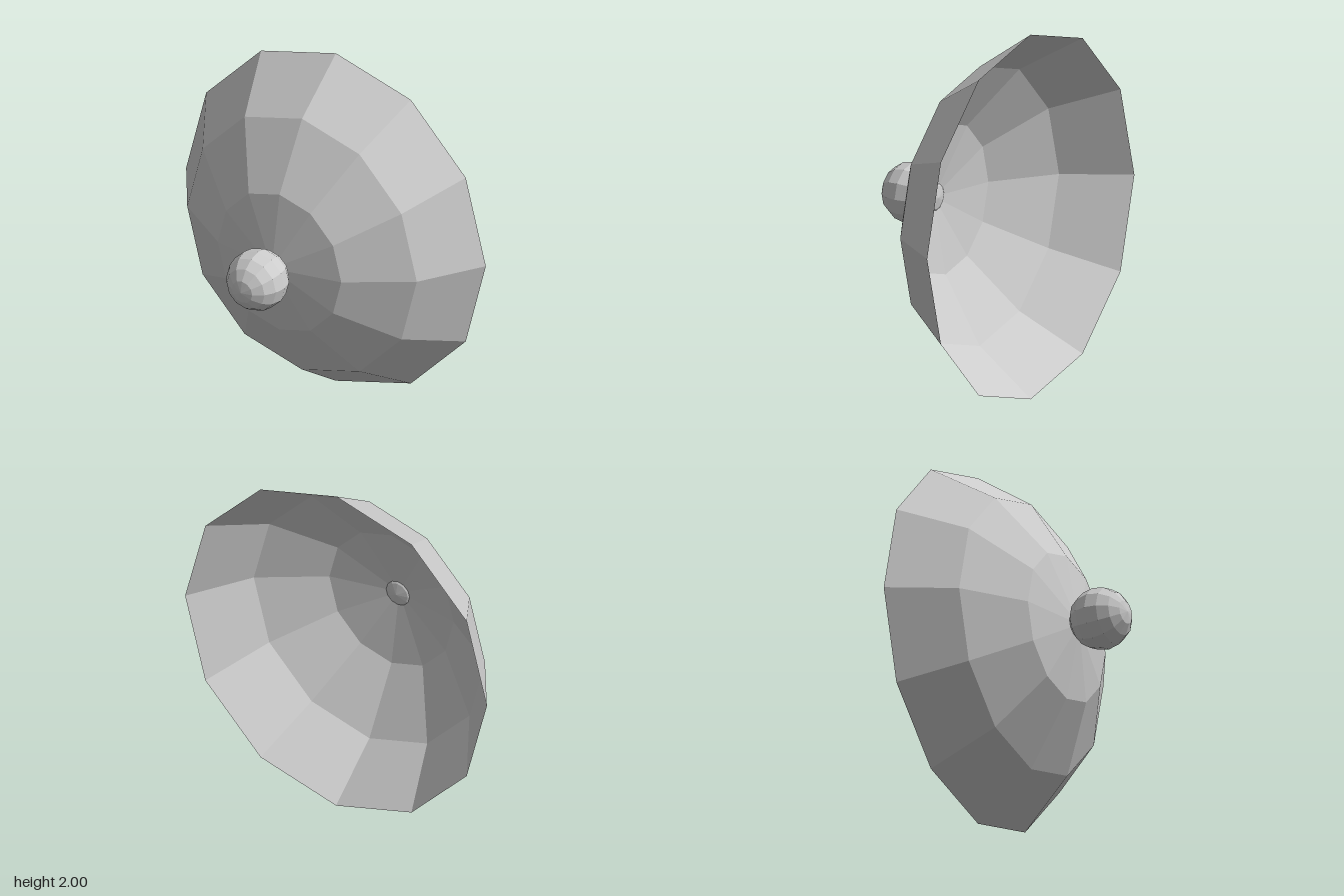
import * as THREE from 'three';

export function createModel() {
  const group = new THREE.Group();
  group.name = 'dishWithBall';

  const lightGrey = new THREE.MeshStandardMaterial({
    color: 0xcccccc, flatShading: true, side: THREE.DoubleSide,
  });
  lightGrey.name = 'lightGrey';

  // Open shallow dish: profile from rim to apex, axis turned to +z
  const profile = [[1, -0.463], [0.766, -0.133], [0.412, 0.086], [0, 0.163]]
    .map(([r, z]) => new THREE.Vector2(r, z));
  const dishGeometry = new THREE.LatheGeometry(profile, 12);
  dishGeometry.rotateX(Math.PI / 2);
  dishGeometry.scale(0.934, 1, 1);
  const dish = new THREE.Mesh(dishGeometry, lightGrey);
  dish.name = 'dish';
  dish.position.y = 1;
  group.add(dish);

  // Ball at the apex, its back cap poking through the dish
  const ballGeometry = new THREE.SphereGeometry(0.167, 12, 8);
  ballGeometry.rotateX(Math.PI / 2);
  const ball = new THREE.Mesh(ballGeometry, lightGrey);
  ball.name = 'ball';
  ball.position.set(0, 1, 0.297);
  group.add(ball);

  return group;
}
